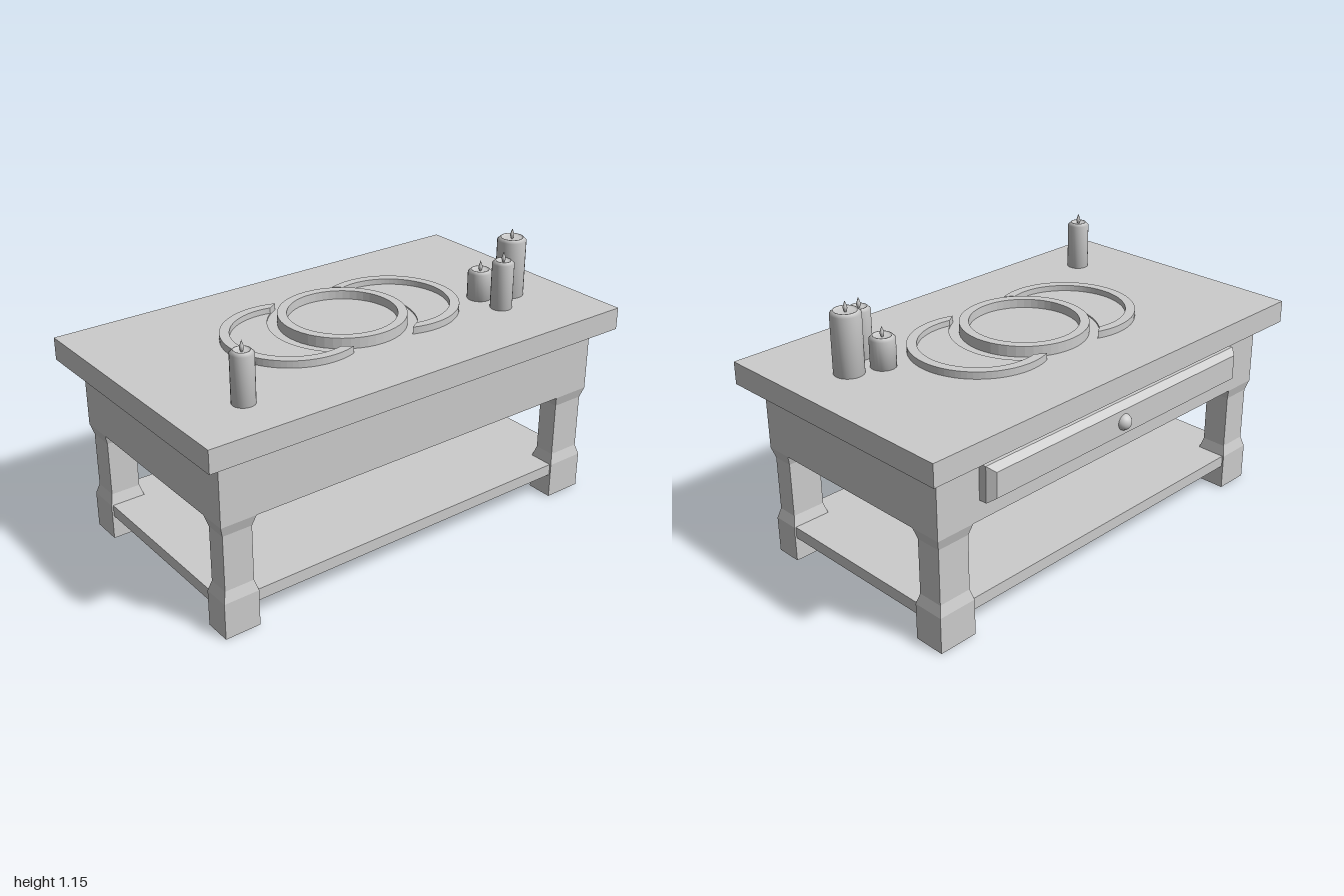
import * as THREE from 'three';

const flat = new THREE.MeshStandardMaterial({ color: 0xcccccc, flatShading: true });
const smooth = new THREE.MeshStandardMaterial({ color: 0xcccccc });
const TOP = 0.855;

function add(parent, name, geometry, material = flat) {
  const mesh = new THREE.Mesh(geometry, material);
  mesh.name = name;
  parent.add(mesh);
  return mesh;
}

// Box given by its lower and upper corners
function slab(parent, name, [x0, y0, z0], [x1, y1, z1]) {
  const mesh = add(parent, name, new THREE.BoxGeometry(x1 - x0, y1 - y0, z1 - z0));
  mesh.position.set((x0 + x1) / 2, (y0 + y1) / 2, (z0 + z1) / 2);
  return mesh;
}

// Square leg: wide foot, bevel, slimmer shaft, bevel back to full width
function legGeometry(width, depth) {
  const heights = [0, 0.155, 0.2, 0.435, 0.48];
  const insets = [0, 0, 0.013, 0.013, 0];
  const geo = new THREE.BoxGeometry(width, 4, depth, 1, 4, 1);
  const p = geo.attributes.position;
  for (let i = 0; i < p.count; i++) {
    const row = Math.round(p.getY(i) + 2);
    p.setXYZ(i,
      p.getX(i) - Math.sign(p.getX(i)) * insets[row],
      heights[row],
      p.getZ(i) - Math.sign(p.getZ(i)) * insets[row]);
  }
  return geo;
}

// Flat shape raised from the table surface
function raised(shape, height) {
  const geo = new THREE.ExtrudeGeometry(shape, { depth: height, bevelEnabled: false, curveSegments: 24 });
  return geo.rotateX(-Math.PI / 2).translate(0, TOP, 0);
}

// Angle on a circle of radius r about (-0.25, 0) where it meets the cut circle
const OFFSET = 0.25, CUT = 0.305;
function cutPoint(r) {
  const x = (r * r - OFFSET * OFFSET - CUT * CUT) / (2 * OFFSET);
  const y = Math.sqrt(CUT * CUT - x * x);
  return { ring: Math.atan2(y, x + OFFSET), cut: Math.atan2(y, x) };
}

function crescent() {
  const group = new THREE.Group();
  const outer = cutPoint(0.286), inner = cutPoint(0.246);
  const rim = new THREE.Shape();
  rim.absarc(-OFFSET, 0, 0.286, outer.ring, 2 * Math.PI - outer.ring, false);
  rim.absarc(-OFFSET, 0, 0.246, 2 * Math.PI - inner.ring, inner.ring, true);
  add(group, 'crescentRim', raised(rim, 0.03));
  const floor = new THREE.Shape();
  floor.absarc(-OFFSET, 0, 0.246, inner.ring, 2 * Math.PI - inner.ring, false);
  floor.absarc(0, 0, CUT, 2 * Math.PI - inner.cut, inner.cut, true);
  add(group, 'crescentFloor', raised(floor, 0.006));
  return group;
}

function candle(x, z, r, height) {
  const group = new THREE.Group();
  group.name = 'candle';
  const profile = [[0, 0], [r, 0], [r, height - 0.012], [r - 0.012, height],
    [r - 0.016, height], [r - 0.02, height - 0.008], [0, height - 0.008]];
  add(group, 'candleWax', new THREE.LatheGeometry(profile.map(p => new THREE.Vector2(...p)), 24), smooth);
  const drop = [[0, 0], [0.004, 0.002], [0.009, 0.016], [0.008, 0.024], [0.004, 0.036], [0, 0.047]];
  const flame = add(group, 'candleFlame',
    new THREE.LatheGeometry(drop.map(p => new THREE.Vector2(...p)), 12), smooth);
  flame.position.y = height - 0.01;
  group.position.set(x, TOP, z);
  return group;
}

export function createModel() {
  const model = new THREE.Group();
  model.name = 'table';

  // Table body
  slab(model, 'tabletop', [-1, 0.76, -0.565], [1, TOP, 0.58]);
  slab(model, 'apron', [-0.922, 0.48, -0.485], [0.922, 0.76, 0.505]);
  slab(model, 'shelf', [-0.915, 0.105, -0.478], [0.915, 0.155, 0.498]);

  // Four legs
  for (const [x0, x1] of [[-0.922, -0.77], [0.752, 0.922]]) {
    for (const [z0, z1] of [[-0.485, -0.35], [0.39, 0.505]]) {
      const leg = add(model, 'leg', legGeometry(x1 - x0, z1 - z0));
      leg.position.set((x0 + x1) / 2, 0, (z0 + z1) / 2);
    }
  }

  // Drawer on the back with chamfered front panel
  slab(model, 'drawerBox', [-0.72, 0.565, -0.52], [0.72, 0.715, -0.48]);
  const panel = new THREE.BoxGeometry(1.44, 0.15, 0.03);
  const p = panel.attributes.position;
  for (let i = 0; i < p.count; i++) {
    if (p.getZ(i) < 0) p.setXY(i, Math.sign(p.getX(i)) * 0.695, Math.sign(p.getY(i)) * 0.053);
  }
  add(model, 'drawerPanel', panel).position.set(0, 0.64, -0.535);
  const knob = add(model, 'drawerKnob', new THREE.SphereGeometry(0.034, 20, 14), smooth);
  knob.position.set(0.01, 0.64, -0.546);

  // Round tray between two crescent trays
  const ring = new THREE.Shape().absarc(0, 0, 0.264, 0, Math.PI * 2, false);
  ring.holes.push(new THREE.Path().absarc(0, 0, 0.225, 0, Math.PI * 2, true));
  add(model, 'roundRim', raised(ring, 0.045));
  const disc = add(model, 'roundFloor', new THREE.CylinderGeometry(0.228, 0.228, 0.008, 24));
  disc.position.y = TOP + 0.004;
  for (const turn of [0, Math.PI]) {
    const tray = crescent();
    tray.name = turn ? 'leftCrescentTray' : 'rightCrescentTray';
    tray.rotation.y = turn;
    model.add(tray);
  }

  // Candles
  model.add(
    candle(-0.715, 0.36, 0.046, 0.207),
    candle(0.62, 0.275, 0.046, 0.207),
    candle(0.62, 0.142, 0.052, 0.128),
    candle(0.75, 0.187, 0.061, 0.255));
  return model;
}
